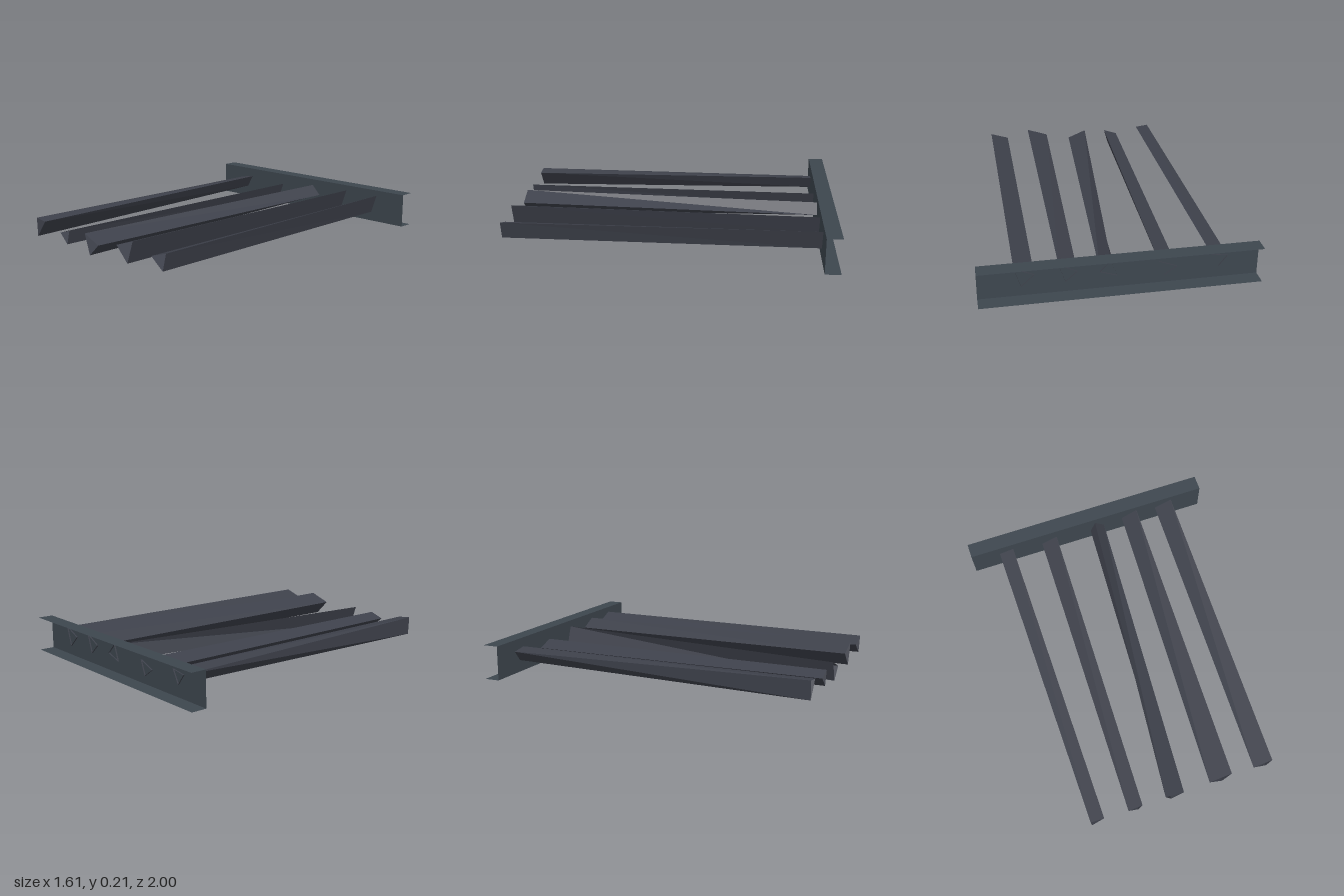
import * as THREE from 'three';

const steel = new THREE.MeshStandardMaterial({ color: 0x3d464e, side: THREE.DoubleSide });
steel.name = 'blueGreySteel';
const dark = new THREE.MeshStandardMaterial({ color: 0x3d404a, side: THREE.DoubleSide });
dark.name = 'darkGreySteel';

const Z_FRONT = 1, Z_WEB = -0.905, Z_END = -0.913;

// Triangle cross-sections of each bar: [front corners, back corners], in x, y
const bars = [
  [[[-0.595, 0.16], [-0.51, 0.15], [-0.59, 0.045]], [[-0.62, 0.14], [-0.525, 0.155], [-0.57, 0.075]]],
  [[[-0.355, 0.11], [-0.265, 0.14], [-0.29, 0.05]], [[-0.325, 0.1], [-0.22, 0.14], [-0.255, 0.05]]],
  [[[-0.117, 0.15], [0.005, 0.1], [-0.075, 0.026]], [[0.055, 0.172], [0.117, 0.108], [0.02, 0.075]]],
  [[[0.17, 0.138], [0.31, 0.185], [0.26, 0.047]], [[0.245, 0.125], [0.35, 0.177], [0.312, 0.065]]],
  [[[0.46, 0.133], [0.578, 0.17], [0.55, 0.065]], [[0.485, 0.13], [0.598, 0.177], [0.56, 0.06]]],
];

// Open three-sided tube lofted between two triangles
function tube(front, back) {
  const pos = [];
  for (let i = 0; i < 3; i++) {
    const j = (i + 1) % 3;
    const a = [...front[i], Z_FRONT], b = [...front[j], Z_FRONT];
    const c = [...back[j], Z_END], d = [...back[i], Z_END];
    pos.push(...a, ...b, ...c, ...a, ...c, ...d);
  }
  const g = new THREE.BufferGeometry();
  g.setAttribute('position', new THREE.Float32BufferAttribute(pos, 3));
  g.computeVertexNormals();
  return g;
}

export function createModel() {
  const model = new THREE.Group();
  model.name = 'barRack';

  const add = (parent, name, geometry, material) => {
    const mesh = new THREE.Mesh(geometry, material);
    mesh.name = name;
    parent.add(mesh);
    return mesh;
  };

  // Sheet channel along the back: web in front, flanges reaching backwards
  const channel = new THREE.Group();
  channel.name = 'channelBeam';
  model.add(channel);
  const width = 1.61, height = 0.213, depth = Z_WEB + 1;
  add(channel, 'web', new THREE.PlaneGeometry(width, height), steel).position.set(0, height / 2, Z_WEB);
  for (const [name, y, turn] of [['topFlange', height, -1], ['bottomFlange', 0, 1]]) {
    const g = new THREE.PlaneGeometry(width, depth).rotateX(turn * Math.PI / 2);
    add(channel, name, g, steel).position.set(0, y, Z_WEB - depth / 2);
  }

  // Five hollow bars, poking slightly through the web
  bars.forEach(([front, back], i) => add(model, 'bar' + (i + 1), tube(front, back), dark));

  return model;
}
